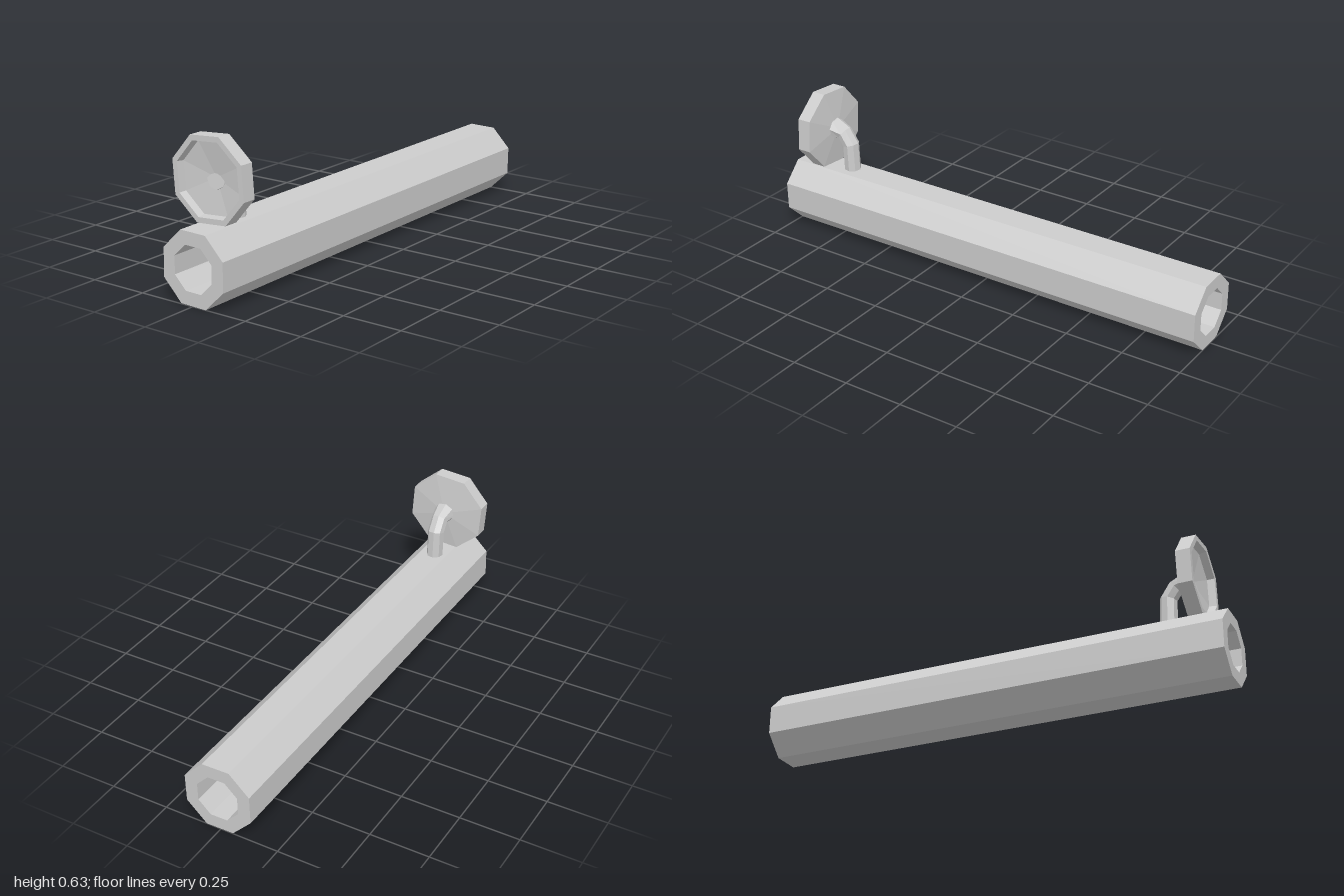
import * as THREE from 'three';

const SIDES = 8;
const material = new THREE.MeshStandardMaterial({ color: 0xcccccc, flatShading: true });

// Skins octagonal rings [x, y, radius, tilt]; tilt 0 faces up, 90 faces -x.
function loft(name, rings, z, phase) {
  const point = ([x, y, r, tilt], k) => {
    const t = THREE.MathUtils.degToRad(tilt);
    const a = THREE.MathUtils.degToRad(phase + (k % SIDES) * 360 / SIDES);
    const v = r * Math.sin(a);
    return [x + v * Math.cos(t), y + v * Math.sin(t), z + r * Math.cos(a)];
  };
  const pos = [];
  for (let i = 0; i < rings.length - 1; i++) {
    const p = rings[i], q = rings[i + 1];
    for (let k = 0; k < SIDES; k++) {
      if (p[2] > 0) pos.push(...point(p, k), ...point(p, k + 1), ...point(q, k + 1));
      if (q[2] > 0) pos.push(...point(p, k), ...point(q, k + 1), ...point(q, k));
    }
  }
  const geometry = new THREE.BufferGeometry();
  geometry.setAttribute('position', new THREE.Float32BufferAttribute(pos, 3));
  geometry.computeVertexNormals();
  const mesh = new THREE.Mesh(geometry, material);
  mesh.name = name;
  return mesh;
}

// Rings along the x axis from [x, radius] pairs
const alongX = (y, profile) => profile.map(([x, r]) => [x, y, r, 90]);

export function createModel() {
  const model = new THREE.Group();
  model.name = 'pipeWithDish';

  // Hollow main pipe: outer wall, end, bore, other end
  model.add(loft('mainPipe', alongX(0.144, [
    [1, 0.154], [-1, 0.154], [-1, 0.096], [1, 0.096], [1, 0.154],
  ]), 0.007, 21.5));

  // Shallow dish with a raised rim and a recessed back
  model.add(loft('dish', alongX(0.457, [
    [-0.82, 0], [-0.84, 0.179], [-0.9, 0.179], [-0.9, 0.156], [-0.87, 0.15], [-0.85, 0],
  ]), 0, 26.7));

  // Bent stalk joining the pipe and dish, its end just poking through
  model.add(loft('stalk', [
    [-0.743, 0.27, 0, 0],
    [-0.743, 0.27, 0.036, 0],
    [-0.748, 0.4, 0.036, 15],
    [-0.78, 0.446, 0.036, 50],
    [-0.83, 0.457, 0.047, 78],
    [-0.855, 0.457, 0.045, 80],
    [-0.855, 0.457, 0, 80],
  ], 0.003, 10));

  return model;
}
